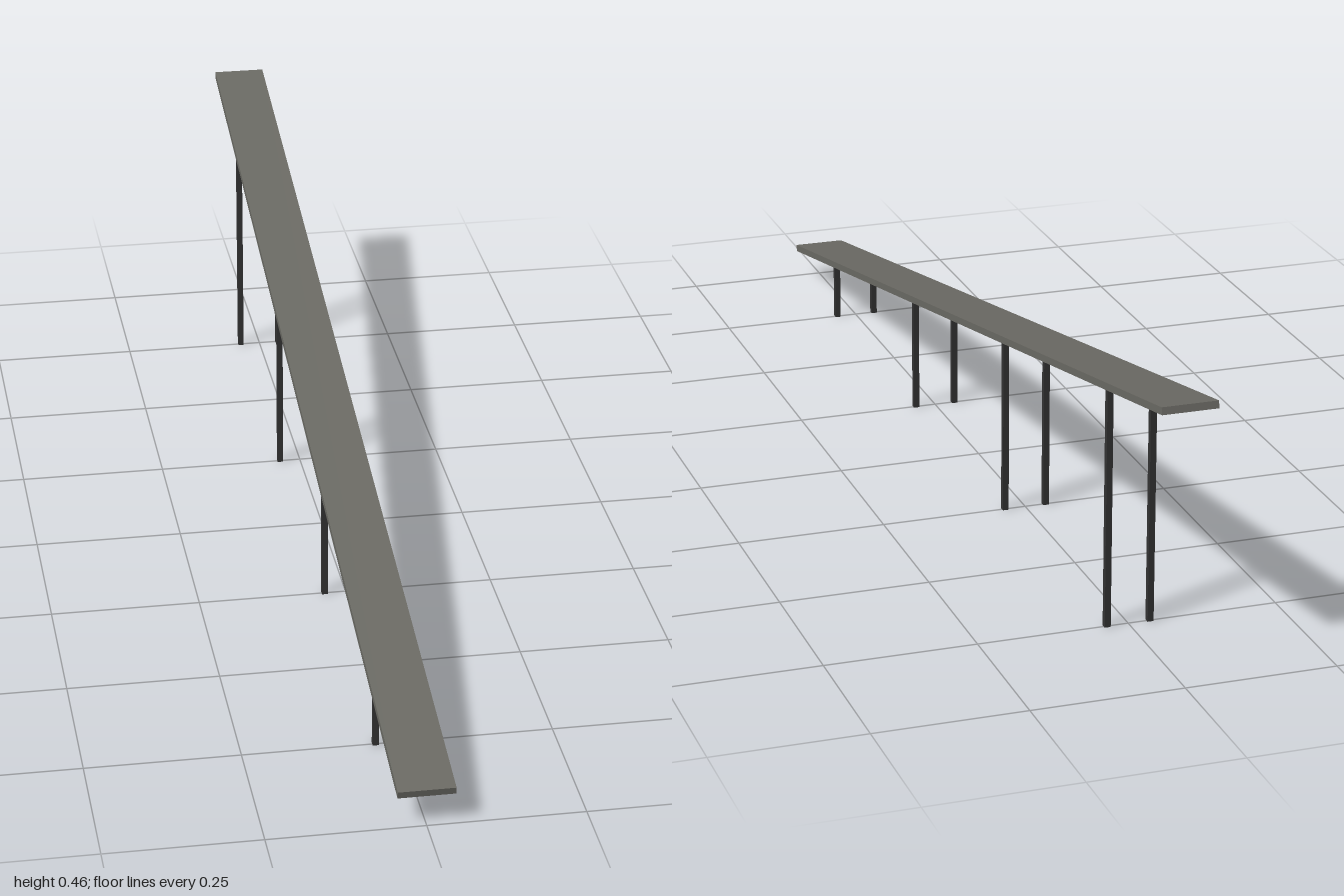
import * as THREE from 'three';

export function createModel() {
  const group = new THREE.Group();
  const deckMat = new THREE.MeshStandardMaterial({ color: 0x6b6a64 });
  const postMat = new THREE.MeshStandardMaterial({ color: 0x333333 });

  const slope = 0.2, midY = 0.257, thickness = 0.012;
  const angle = Math.atan(slope);

  // Sloping deck, rising towards the back
  const length = (2 - thickness * Math.sin(angle)) / Math.cos(angle);
  const deck = new THREE.Mesh(new THREE.BoxGeometry(0.091, thickness, length), deckMat);
  deck.name = 'deck';
  deck.position.y = midY;
  deck.rotation.x = angle;
  group.add(deck);

  // Pairs of square posts ending inside the deck
  for (const z of [0.75, 0.25, -0.25, -0.75]) {
    const pair = new THREE.Group();
    pair.name = 'postPair';
    const height = midY - slope * z;
    for (const side of [-1, 1]) {
      const post = new THREE.Mesh(new THREE.BoxGeometry(0.01, height, 0.01), postMat);
      post.name = side > 0 ? 'leftPost' : 'rightPost';
      post.position.set(side * 0.036, height / 2, z);
      pair.add(post);
    }
    group.add(pair);
  }
  return group;
}
